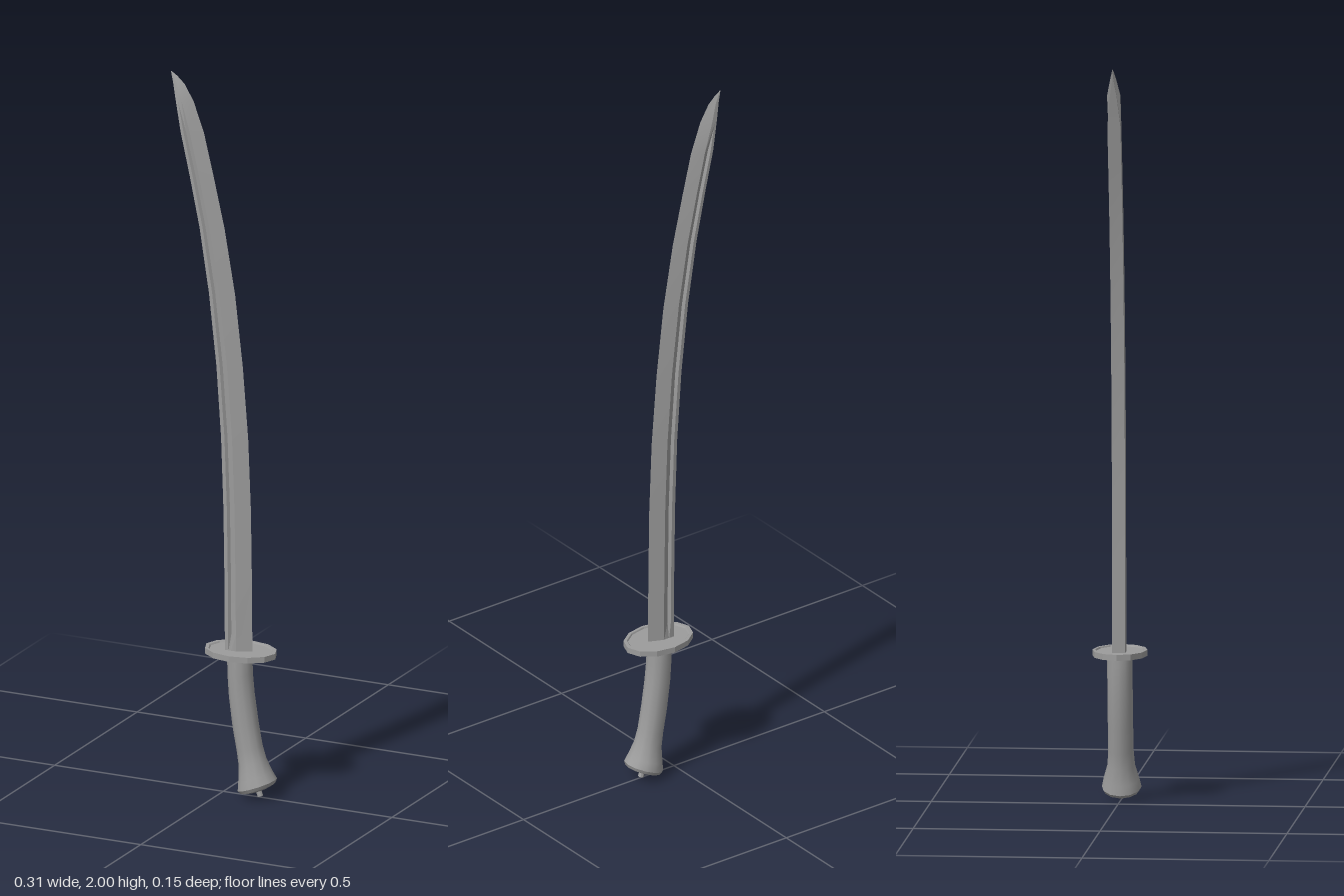
import * as THREE from 'three';
import { toCreasedNormals } from 'three/addons/utils/BufferGeometryUtils.js';

const material = new THREE.MeshStandardMaterial({ color: 0x9c9c9c });

// Skins a stack of rings (each counter-clockwise seen from above) and caps both ends
function loft(rings, crease) {
  const n = rings[0].length;
  const pos = [];
  const tri = (...pts) => pts.forEach(p => pos.push(p.x, p.y, p.z));
  for (let i = 0; i < rings.length - 1; i++) {
    for (let j = 0; j < n; j++) {
      const k = (j + 1) % n, a = rings[i], b = rings[i + 1];
      tri(a[j], a[k], b[k]);
      tri(a[j], b[k], b[j]);
    }
  }
  const centre = ring => ring.reduce((s, p) => s.add(p), new THREE.Vector3()).divideScalar(n);
  const low = rings[0], high = rings[rings.length - 1];
  const cLow = centre(low), cHigh = centre(high);
  for (let j = 0; j < n; j++) {
    const k = (j + 1) % n;
    tri(cLow, low[k], low[j]);
    tri(cHigh, high[j], high[k]);
  }
  const g = new THREE.BufferGeometry();
  g.setAttribute('position', new THREE.Float32BufferAttribute(pos, 3));
  return toCreasedNormals(g, crease);
}

function addMesh(group, name, geometry) {
  const mesh = new THREE.Mesh(geometry, material);
  mesh.name = name;
  group.add(mesh);
  return mesh;
}

// Curved single-edged blade: y, spine x, edge x, half thickness, groove depth
function bladeGeometry() {
  const stations = [
    [0.40, 0.013, 0.087, 0.0175, 0],
    [0.45, 0.013, 0.086, 0.0175, 0.007],
    [0.60, 0.012, 0.085, 0.0175, 0.007],
    [0.80, 0.009, 0.082, 0.0175, 0.007],
    [1.00, 0.002, 0.074, 0.0175, 0.007],
    [1.20, -0.012, 0.058, 0.0175, 0.007],
    [1.40, -0.034, 0.035, 0.0175, 0.007],
    [1.58, -0.062, 0.004, 0.0175, 0.007],
    [1.72, -0.091, -0.028, 0.0175, 0.007],
    [1.84, -0.118, -0.057, 0.0175, 0.006],
    [1.925, -0.137, -0.088, 0.0175, 0],
    [1.97, -0.148, -0.115, 0.008, 0],
    [1.99, -0.153, -0.137, 0.003, 0],
    [2.00, -0.155, -0.153, 0.0005, 0],
  ];
  // One side of the section from shoulder to spine: fraction of width, grooved or not
  const side = [[0.45, 0], [0.22, 1], [0.14, 0], [0, 0]];
  const rings = stations.map(([y, spine, edge, t, d]) => {
    const at = (u, z) => new THREE.Vector3(spine + (edge - spine) * u, y, z);
    // The spine thins towards the point
    const half = (u, g) => (u < 0.2 ? t * Math.min(1, (2.002 - y) / 0.15) : t) - g * d;
    const back = side.map(([u, g]) => at(u, -half(u, g)));
    const front = side.map(([u, g]) => at(u, half(u, g))).reverse();
    return [at(1, 0), ...back, ...front];
  });
  return loft(rings, 0.3);
}

// Tilted oval ring used by the grip
function ovalRing([x, y, rx, rz, tilt]) {
  const sides = 12;
  return Array.from({ length: sides }, (_, j) => {
    const a = (j / sides) * Math.PI * 2;
    const u = Math.cos(a) * rx;
    return new THREE.Vector3(x + u * Math.cos(tilt), y + u * Math.sin(tilt), -Math.sin(a) * rz);
  });
}

// Bent grip flaring into a slightly domed pommel: x, y, radius x, radius z, tilt
function gripGeometry() {
  const rings = [
    [0.105, 0.020, 0.030, 0.030, 0.36],
    [0.103, 0.025, 0.050, 0.048, 0.36],
    [0.101, 0.034, 0.056, 0.053, 0.36],
    [0.095, 0.057, 0.048, 0.048, 0.36],
    [0.087, 0.095, 0.039, 0.037, 0.32],
    [0.078, 0.135, 0.036, 0.034, 0.27],
    [0.066, 0.20, 0.036, 0.034, 0.2],
    [0.055, 0.28, 0.035, 0.034, 0.1],
    [0.050, 0.34, 0.034, 0.034, 0.03],
    [0.049, 0.395, 0.034, 0.034, 0],
  ];
  return loft(rings.map(ovalRing), 0.6);
}

// Oval guard disc with a shallow recess inside the rim on both faces
function guardGeometry() {
  const profile = [
    [0, -0.004], [0.089, -0.004], [0.092, -0.008], [0.102, -0.008],
    [0.102, 0.008], [0.092, 0.008], [0.089, 0.004], [0, 0.004],
  ].map(p => new THREE.Vector2(...p));
  const g = new THREE.LatheGeometry(profile, 12);
  g.scale(1, 1, 0.72);
  return toCreasedNormals(g, 0.3);
}

export function createModel() {
  const group = new THREE.Group();
  group.name = 'sword';

  addMesh(group, 'blade', bladeGeometry());
  addMesh(group, 'guard', guardGeometry()).position.set(0.052, 0.401, 0);
  addMesh(group, 'grip', gripGeometry());

  // Small peg under the pommel
  const peg = addMesh(group, 'pommelPeg', toCreasedNormals(new THREE.CylinderGeometry(0.008, 0.008, 0.024, 8), 0.9));
  peg.position.set(0.106, 0.0145, 0);
  peg.rotation.z = 0.36;

  return group;
}
